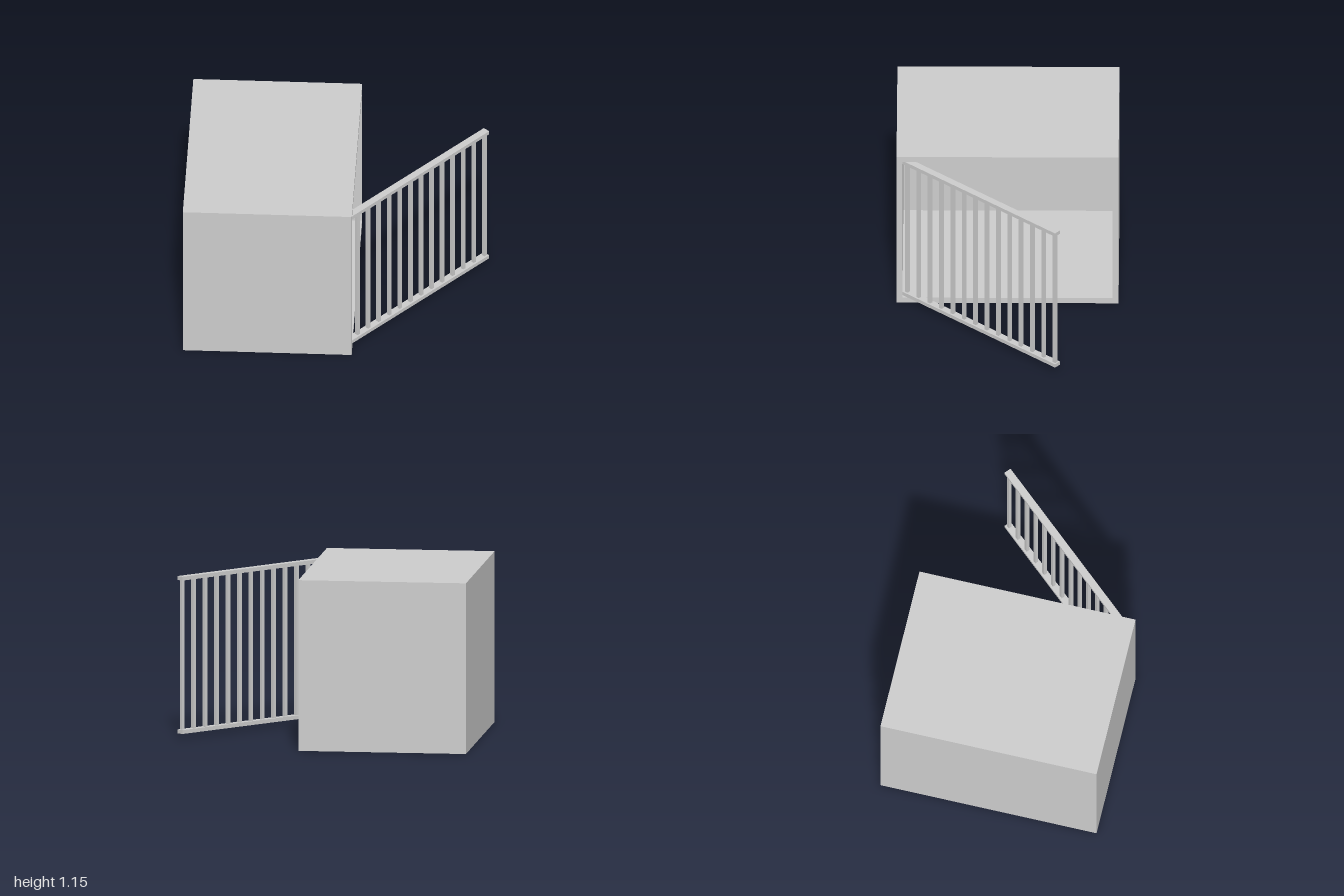
import * as THREE from 'three';

const material = new THREE.MeshStandardMaterial({ color: 0xcccccc, flatShading: true });

function box(name, w, h, d, x, y, z) {
  const mesh = new THREE.Mesh(new THREE.BoxGeometry(w, h, d), material);
  mesh.name = name;
  mesh.position.set(x, y, z);
  return mesh;
}

// Rectangle outline, centred on x
function rect(Type, halfWidth, y0, y1) {
  const r = new Type();
  r.moveTo(-halfWidth, y0);
  r.lineTo(halfWidth, y0);
  r.lineTo(halfWidth, y1);
  r.lineTo(-halfWidth, y1);
  r.closePath();
  return r;
}

// Hollow crate, open towards +x
function createCrate() {
  const height = 1.153, halfDepth = 0.742, wall = 0.04, left = -1, right = 0.13;
  const crate = new THREE.Group();
  crate.name = 'crate';

  const outline = rect(THREE.Shape, halfDepth, 0, height);
  outline.holes.push(rect(THREE.Path, halfDepth - wall, wall, height - wall));
  const geometry = new THREE.ExtrudeGeometry(outline, { depth: right - left, bevelEnabled: false });
  geometry.rotateY(Math.PI / 2);
  geometry.translate(left, 0, 0);
  const shell = new THREE.Mesh(geometry, material);
  shell.name = 'crateShell';

  const back = box('crateBackWall', wall, height - 2 * wall, 2 * (halfDepth - wall),
    left + wall / 2, height / 2, 0);
  crate.add(shell, back);
  return crate;
}

// Barred gate, built along +x from its hinge and then swung open
function createGate() {
  const length = 1.363, bottom = 0.041, top = 1.103;
  const railHeight = 0.026, railDepth = 0.05, barSize = 0.023, barCount = 14;
  const gate = new THREE.Group();
  gate.name = 'gate';

  gate.add(box('bottomRail', length, railHeight, railDepth, length / 2, bottom + railHeight / 2, 0));
  gate.add(box('topRail', length, railHeight, railDepth, length / 2, top - railHeight / 2, 0));

  const barHeight = top - bottom - 2 * railHeight;
  const inset = 0.021;
  for (let i = 0; i < barCount; i++) {
    const x = inset + (length - 2 * inset) * i / (barCount - 1);
    gate.add(box('gateBar' + (i + 1), barSize, barHeight, barSize, x, (top + bottom) / 2, 0));
  }

  gate.position.set(0.081, 0, 0.685);
  gate.rotation.y = 0.85;
  return gate;
}

export function createModel() {
  const model = new THREE.Group();
  model.name = 'crateWithGate';
  model.add(createCrate(), createGate());
  return model;
}
